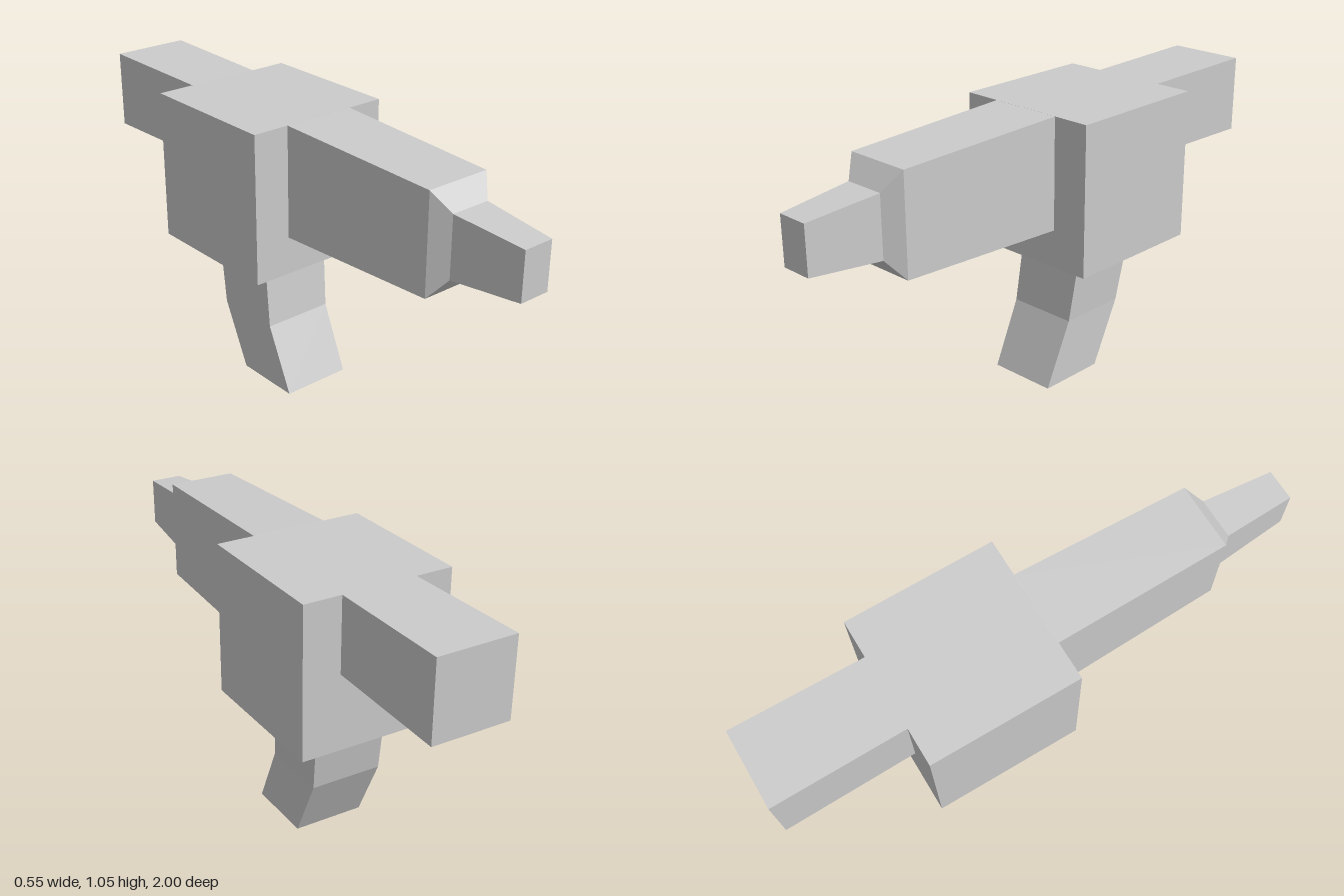
import * as THREE from 'three';

const material = new THREE.MeshStandardMaterial({ color: 0xcccccc, flatShading: true });

// Section facing +z: four corners, counter-clockwise seen from +z
const sectionZ = (z, halfWidth, y0, y1) => [
  [-halfWidth, y0, z], [halfWidth, y0, z], [halfWidth, y1, z], [-halfWidth, y1, z],
];

// Section facing +y: four corners, counter-clockwise seen from above
const sectionY = (y, x0, x1, z0, z1) => [
  [x0, y, z1], [x1, y, z1], [x1, y, z0], [x0, y, z0],
];

// Joins four-cornered sections into a faceted solid; caps only the exposed ends
function loft(name, sections, capStart, capEnd) {
  const positions = [];
  const quad = (a, b, c, d) => positions.push(...a, ...b, ...c, ...a, ...c, ...d);
  for (let i = 0; i < sections.length - 1; i++) {
    const s = sections[i], t = sections[i + 1];
    for (let j = 0; j < 4; j++) {
      const k = (j + 1) % 4;
      quad(s[j], s[k], t[k], t[j]);
    }
  }
  if (capStart) quad(...[...sections[0]].reverse());
  if (capEnd) quad(...sections[sections.length - 1]);

  const geometry = new THREE.BufferGeometry();
  geometry.setAttribute('position', new THREE.Float32BufferAttribute(positions, 3));
  geometry.computeVertexNormals();
  const mesh = new THREE.Mesh(geometry, material);
  mesh.name = name;
  return mesh;
}

export function createModel() {
  const group = new THREE.Group();
  group.name = 'blaster';

  // Central block
  const body = new THREE.Mesh(new THREE.BoxGeometry(0.55, 0.55, 0.545), material);
  body.name = 'body';
  body.position.set(0, 0.767, -0.248);
  group.add(body);

  // Tapered barrel stepping down to a narrow muzzle
  group.add(loft('barrel', [
    sectionZ(0.025, 0.137, 0.632, 1.042),
    sectionZ(0.675, 0.123, 0.655, 1.02),
    sectionZ(0.73, 0.075, 0.725, 0.948),
    sectionZ(1, 0.058, 0.75, 0.924),
  ], false, true));

  // Rear stock, flaring slightly towards the back
  group.add(loft('stock', [
    sectionZ(-1, 0.143, 0.763, 1.048),
    sectionZ(-0.52, 0.137, 0.77, 1.042),
  ], true, false));

  // Bent grip, leaning forward at the foot
  group.add(loft('grip', [
    sectionY(0, -0.145, 0.117, -0.23, 0.03),
    sectionY(0.238, -0.147, 0.12, -0.34, -0.077),
    sectionY(0.492, -0.138, 0.137, -0.383, -0.11),
  ], true, false));

  return group;
}
